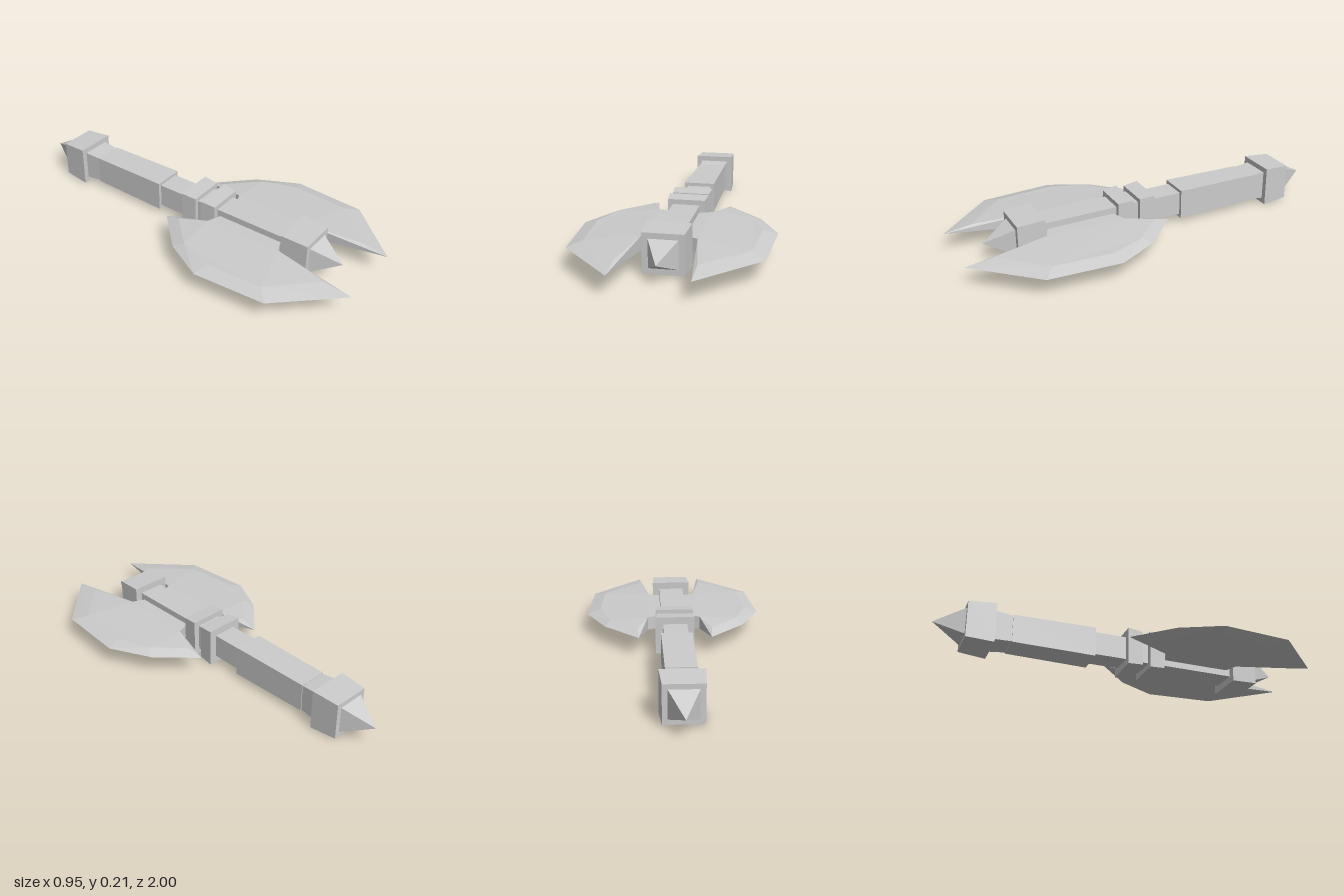
import * as THREE from 'three';

const AXIS_Y = 0.105;
const material = new THREE.MeshStandardMaterial({ color: 0xcccccc, flatShading: true });

// Square section along z, from half-width h0 at z0 to h1 at z1
function squareSection(name, z0, h0, z1, h1) {
  const k = Math.SQRT2;
  let geo = new THREE.CylinderGeometry(h1 * k, h0 * k, z1 - z0, 4, 1);
  geo.rotateY(Math.PI / 4).rotateX(Math.PI / 2);
  geo = geo.toNonIndexed();
  geo.computeVertexNormals();
  const mesh = new THREE.Mesh(geo, material);
  mesh.name = name;
  mesh.position.set(0, AXIS_Y, (z0 + z1) / 2);
  return mesh;
}

// Blade points as [x, z, half thickness]: sharp outline, and the bevel line inside it
const OUTLINE = [
  [0.06, 0.2, 0.035], [0.14, 0.17, 0.035], [0.19, -0.05, 0], [0.37, 0.13, 0], [0.475, 0.34, 0],
  [0.45, 0.71, 0], [0.18, 1, 0], [0.13, 0.58, 0.035], [0.06, 0.55, 0.035],
];
const BEVEL = [
  [0.06, 0.2, 0.035], [0.14, 0.17, 0.035], [0.195, 0.03, 0.022], [0.34, 0.18, 0.022], [0.405, 0.36, 0.021],
  [0.385, 0.65, 0.021], [0.18, 0.86, 0.02], [0.13, 0.58, 0.035], [0.06, 0.55, 0.035],
];

function blade(name, side) {
  const pos = [];
  const point = (p, up) => new THREE.Vector3(side * p[0], up * p[2], p[1]);
  const tri = (a, b, c) => {
    const area = b.clone().sub(a).cross(c.clone().sub(a)).length();
    if (area < 1e-8) return;
    for (const v of side > 0 ? [a, b, c] : [a, c, b]) pos.push(v.x, v.y, v.z);
  };
  // Same triangle on the upper and lower face
  const both = (a, b, c) => {
    tri(point(a, 1), point(b, 1), point(c, 1));
    tri(point(a, -1), point(c, -1), point(b, -1));
  };

  OUTLINE.forEach((a, i) => {
    const j = (i + 1) % OUTLINE.length;
    const b = OUTLINE[j];
    // Bevel strip
    both(a, BEVEL[i], b);
    both(b, BEVEL[i], BEVEL[j]);
    // Edge wall where the outline is thick
    tri(point(a, -1), point(a, 1), point(b, 1));
    tri(point(a, -1), point(b, 1), point(b, -1));
  });

  // Flat of the blade
  const contour = BEVEL.map(([x, z]) => new THREE.Vector2(x, z));
  for (const [i, j, k] of THREE.ShapeUtils.triangulateShape(contour, [])) {
    const [a, b, c] = [BEVEL[i], BEVEL[j], BEVEL[k]];
    const turn = (b[0] - a[0]) * (c[1] - a[1]) - (b[1] - a[1]) * (c[0] - a[0]);
    if (turn < 0) both(a, b, c);
    else both(a, c, b);
  }

  const geo = new THREE.BufferGeometry();
  geo.setAttribute('position', new THREE.Float32BufferAttribute(pos, 3));
  geo.computeVertexNormals();
  const mesh = new THREE.Mesh(geo, material);
  mesh.name = name;
  mesh.position.y = AXIS_Y;
  return mesh;
}

export function createModel() {
  const group = new THREE.Group();
  group.name = 'doubleAxe';
  // Handle and fittings, from the back end to the front
  const sections = [
    ['pommelSpike', -1, 0, -0.85, 0.07],
    ['pommel', -0.85, 0.095, -0.71, 0.105],
    ['pommelCollar', -0.71, 0.077, -0.62, 0.07],
    ['grip', -0.62, 0.074, -0.19, 0.079],
    ['neck', -0.19, 0.062, -0.02, 0.062],
    ['rearRing', -0.02, 0.1, 0.06, 0.093],
    ['ringSpacer', 0.06, 0.07, 0.1, 0.07],
    ['frontRing', 0.1, 0.1, 0.18, 0.093],
    ['headShaft', 0.18, 0.068, 0.575, 0.068],
    ['headCap', 0.575, 0.105, 0.715, 0.097],
    ['headSpike', 0.715, 0.069, 0.86, 0],
  ];
  for (const s of sections) group.add(squareSection(...s));
  group.add(blade('leftBlade', 1), blade('rightBlade', -1));
  return group;
}
